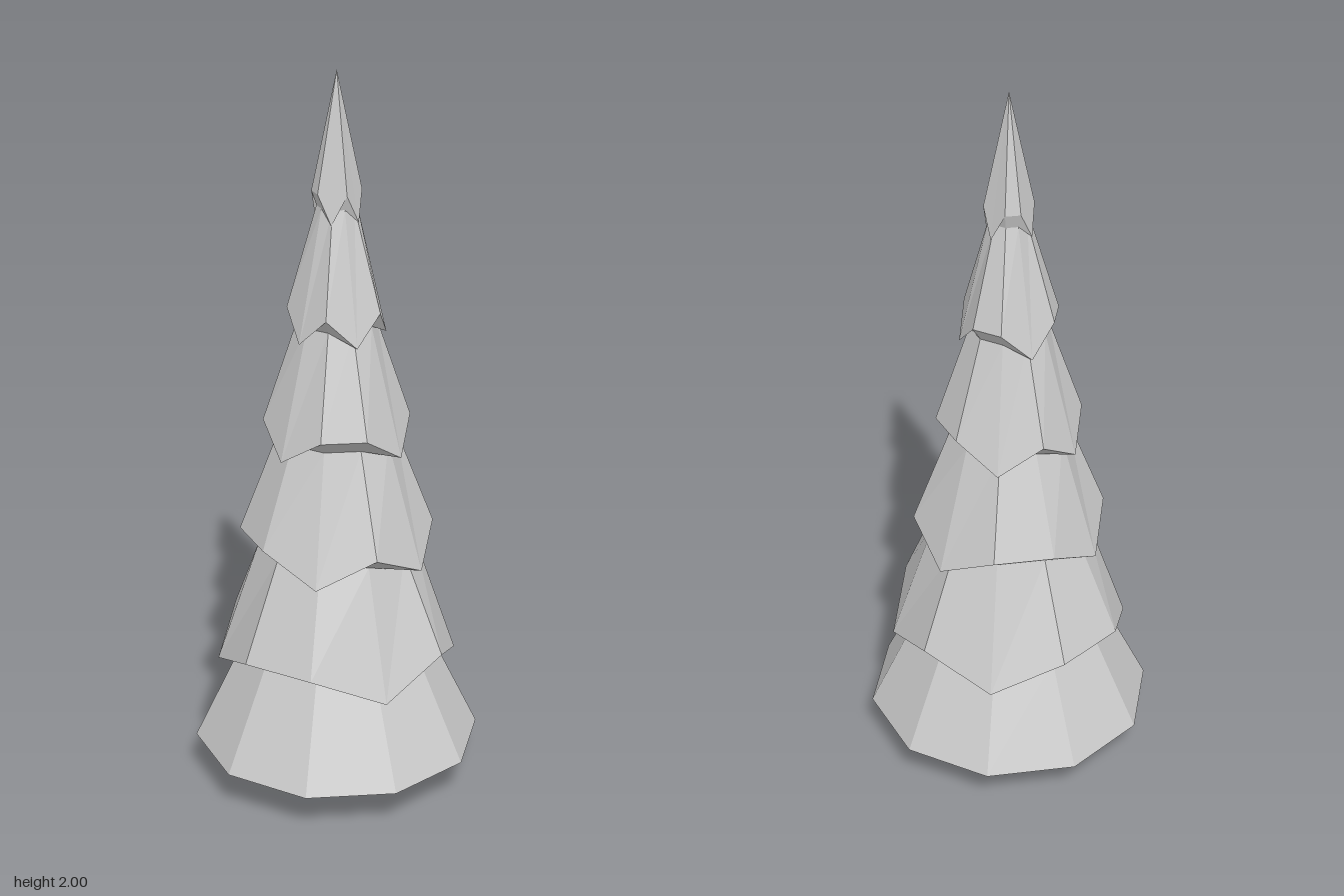
import * as THREE from 'three';

const SIDES = 10;
const STEP = 0.315;

// Ring of points, starting at +z and turning towards +x; height may vary per corner
function ring(radius, height) {
  return Array.from({ length: SIDES }, (_, k) => {
    const a = (k / SIDES) * Math.PI * 2;
    const y = typeof height === 'function' ? height(k) : height;
    return new THREE.Vector3(Math.sin(a) * radius, y, Math.cos(a) * radius);
  });
}

// Skin a stack of rings, listed from bottom to top of the surface
function skin(rings) {
  const pos = [];
  const tri = (...pts) => pts.forEach((p) => pos.push(p.x, p.y, p.z));
  for (let i = 0; i < rings.length - 1; i++) {
    const lower = rings[i], upper = rings[i + 1];
    for (let k = 0; k < SIDES; k++) {
      const n = (k + 1) % SIDES;
      tri(lower[k], lower[n], upper[n]);
      tri(lower[k], upper[n], upper[k]);
    }
  }
  const geometry = new THREE.BufferGeometry();
  geometry.setAttribute('position', new THREE.Float32BufferAttribute(pos, 3));
  geometry.computeVertexNormals();
  return geometry;
}

export function createModel() {
  const group = new THREE.Group();
  const material = new THREE.MeshStandardMaterial({ color: 0xcccccc, flatShading: true });
  const add = (name, geometry) => {
    const mesh = new THREE.Mesh(geometry, material);
    mesh.name = name;
    group.add(mesh);
  };

  // Flared trunk with a closed foot
  add('trunk', skin([[0, 0], [0.074, 0], [0.036, 0.045], [0.032, 0.075], [0.038, 0.11]]
    .map(([r, y]) => ring(r, y))));

  // Six foliage tiers: each has an underside, a zigzag rim and a side that narrows to the next tier
  const rimRadius = (i) => 0.393 * (1 - i / 6);
  const neckRadius = (i) => 0.8 * rimRadius(i);
  const level = (i) => 0.07 + STEP * i;
  const turn = [0, 2, 1, 6, 0, 1]; // rotation of the zigzag per tier
  const dips = [0, 2, 4, 7]; // drooping corners
  for (let i = 0; i < 6; i++) {
    const droops = (k) => dips.includes((k - turn[i] + SIDES) % SIDES);
    const rimHeight = i === 0 ? 0.11 : (k) => level(i) + (droops(k) ? -0.038 : 0.04);
    const inner = i === 0 ? ring(0, 0.11) : ring(neckRadius(i), level(i));
    const top = i === 5 ? ring(0, 2) : ring(neckRadius(i + 1), level(i + 1));
    add('foliageTier' + (i + 1), skin([inner, ring(rimRadius(i), rimHeight), top]));
  }
  return group;
}
